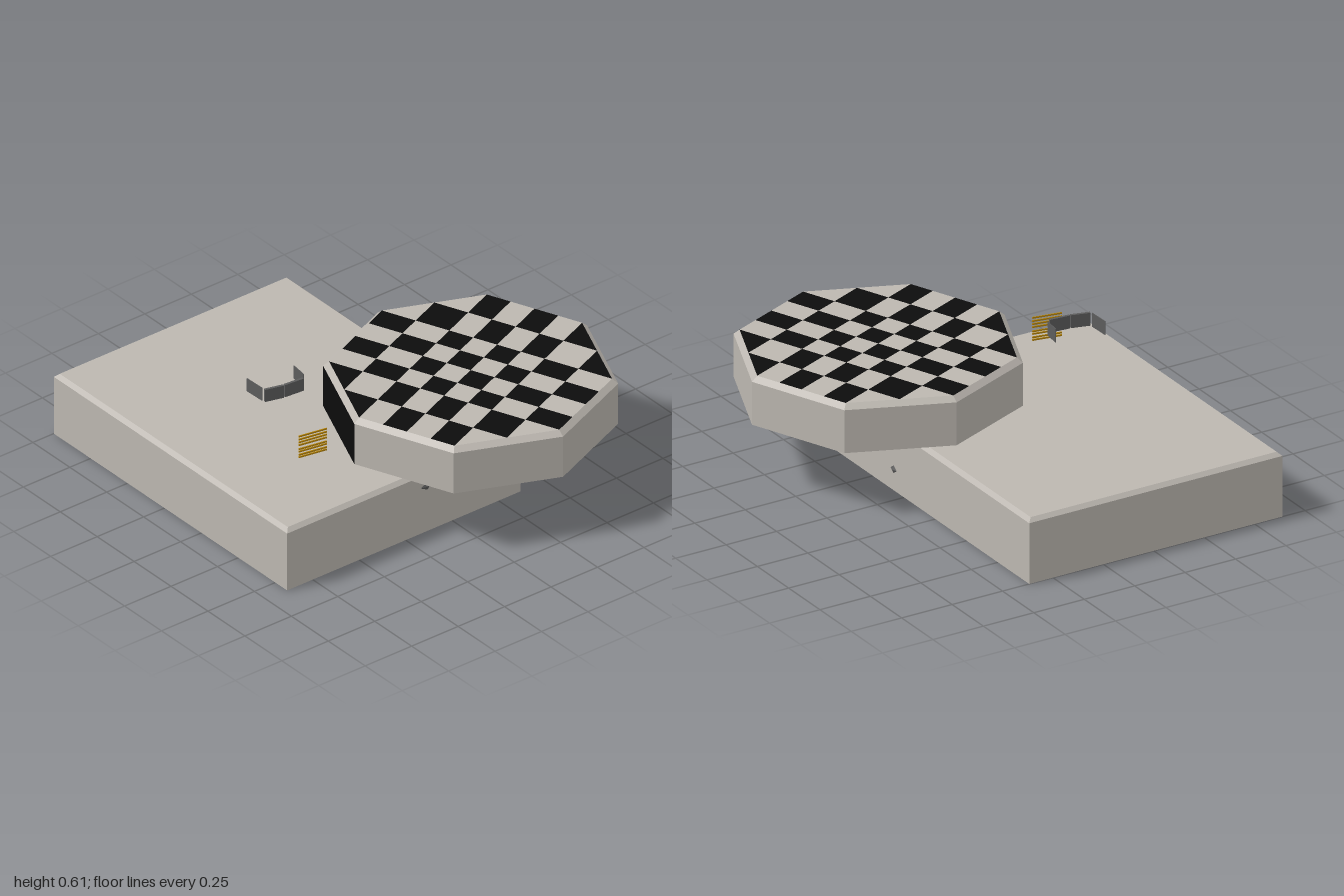
import * as THREE from 'three';

const mat = (name, color, opts = {}) => Object.assign(new THREE.MeshStandardMaterial({ color, ...opts }), { name });

export function createModel() {
  const root = new THREE.Group();
  root.name = 'octagonTableOnBase';
  const stone = mat('stone', 0xbcb7b0, { flatShading: true });
  const black = mat('black', 0x0c0c0c, { flatShading: true, side: THREE.DoubleSide });
  const grey = mat('darkGrey', 0x5c5c5c, { flatShading: true, side: THREE.DoubleSide });
  const gold = mat('gold', 0xb8860b, { flatShading: true });

  const add = (parent, name, geo, material, x = 0, y = 0, z = 0) => {
    const m = new THREE.Mesh(geo, material);
    m.name = name;
    m.position.set(x, y, z);
    parent.add(m);
    return m;
  };

  // Base slab with a chamfered top edge
  const slab = new THREE.BoxGeometry(1.58, 0.3, 1.255, 1, 2, 1);
  const p = slab.attributes.position;
  for (let i = 0; i < p.count; i++) {
    if (Math.abs(p.getY(i)) < 0.01) p.setY(i, 0.133);
    else if (p.getY(i) > 0.1) {
      p.setX(i, p.getX(i) - Math.sign(p.getX(i)) * 0.018);
      p.setZ(i, p.getZ(i) - Math.sign(p.getZ(i)) * 0.018);
    }
  }
  add(root, 'baseSlab', slab, stone, -0.21, 0.15, 0.26);

  // Small pointed studs on the right and back faces
  const stud = new THREE.OctahedronGeometry(1);
  add(root, 'sideStud', stud, grey, 0.58, 0.225, 0.135).scale.set(0.008, 0.018, 0.033);
  add(root, 'backStud', stud, grey, 0.08, 0.1, -0.37).scale.set(0.025, 0.018, 0.008);

  // Low spacers between base and top
  add(root, 'roundSpacer', new THREE.CylinderGeometry(0.14, 0.11, 0.024, 16), stone, 0.085, 0.31, -0.03);
  add(root, 'squareSpacer', new THREE.BoxGeometry(0.18, 0.024, 0.2), grey, 0.37, 0.31, -0.23);

  // Octagonal top: seven stone sides, one black side, bevel and underside
  const top = new THREE.Group();
  top.name = 'octagonTop';
  top.position.set(0.372, 0, -0.265);
  root.add(top);
  const R = 0.626, r = 0.6, step = Math.PI / 4;
  add(top, 'stoneSides', new THREE.CylinderGeometry(R, R, 0.2, 7, 1, true, 0, step * 7), stone, 0, 0.42, 0);
  add(top, 'blackSide', new THREE.CylinderGeometry(R, R, 0.2, 1, 1, true, step * 7, step), black, 0, 0.42, 0);
  add(top, 'bevel', new THREE.CylinderGeometry(r, R, 0.022, 8, 1, true), stone, 0, 0.531, 0);
  add(top, 'underside', new THREE.CircleGeometry(R, 8), stone, 0, 0.32, 0).rotation.x = Math.PI / 2;

  // Chequered surface: eight columns by eight rows, corners cut by the octagon
  const a = r * Math.cos(step / 2), e = r * Math.sin(step / 2), m = (a + e) / 2;
  const lines = [-a, -m, -e, -e / 2, 0, e / 2, e, m, a];
  const c = Math.cos(step / 2), s = Math.sin(step / 2);
  const verts = [[], []];
  for (let i = 0; i < 8; i++) {
    for (let j = 0; j < 8; j++) {
      const cell = [[i, j], [i, j + 1], [i + 1, j + 1], [i + 1, j]]
        .map(([k, l]) => [lines[k], lines[l]])
        .filter(([u, v]) => Math.abs(u) + Math.abs(v) < a + e + 1e-6)
        .map(([u, v]) => [u * c + v * s, 0, v * c - u * s]);
      for (let k = 2; k < cell.length; k++) {
        verts[(i + j) % 2].push(...cell[0], ...cell[k - 1], ...cell[k]);
      }
    }
  }
  verts.forEach((list, k) => {
    const g = new THREE.BufferGeometry();
    g.setAttribute('position', new THREE.Float32BufferAttribute(list, 3));
    g.computeVertexNormals();
    add(top, k ? 'paleSquares' : 'blackSquares', g, k ? stone : black, 0, 0.542, 0);
  });

  // Upright strips given by their ends in plan
  const strip = (name, x0, z0, x1, z1, y, h, t, material) => {
    const mesh = add(root, name, new THREE.BoxGeometry(t, h, Math.hypot(x1 - x0, z1 - z0)), material,
      (x0 + x1) / 2, y, (z0 + z1) / 2);
    mesh.rotation.y = Math.atan2(x1 - x0, z1 - z0);
  };

  // Floating grey bracket
  strip('bracketFront', -0.075, 0.583, 0.025, 0.58, 0.582, 0.064, 0.003, grey);
  strip('bracketCurveFront', 0.037, 0.578, 0.06, 0.495, 0.582, 0.06, 0.012, grey);
  strip('bracketCurveBack', 0.06, 0.49, 0.068, 0.395, 0.582, 0.06, 0.012, grey);
  strip('bracketBack', -0.03, 0.366, 0.05, 0.376, 0.582, 0.064, 0.003, grey);

  // Stack of thin gold bars
  [0.402, 0.414, 0.43, 0.442, 0.462, 0.476, 0.49, 0.505].forEach((y) =>
    strip('goldBar', 0.286, 0.592, 0.31, 0.46, y, 0.007, 0.005, gold));

  return root;
}
